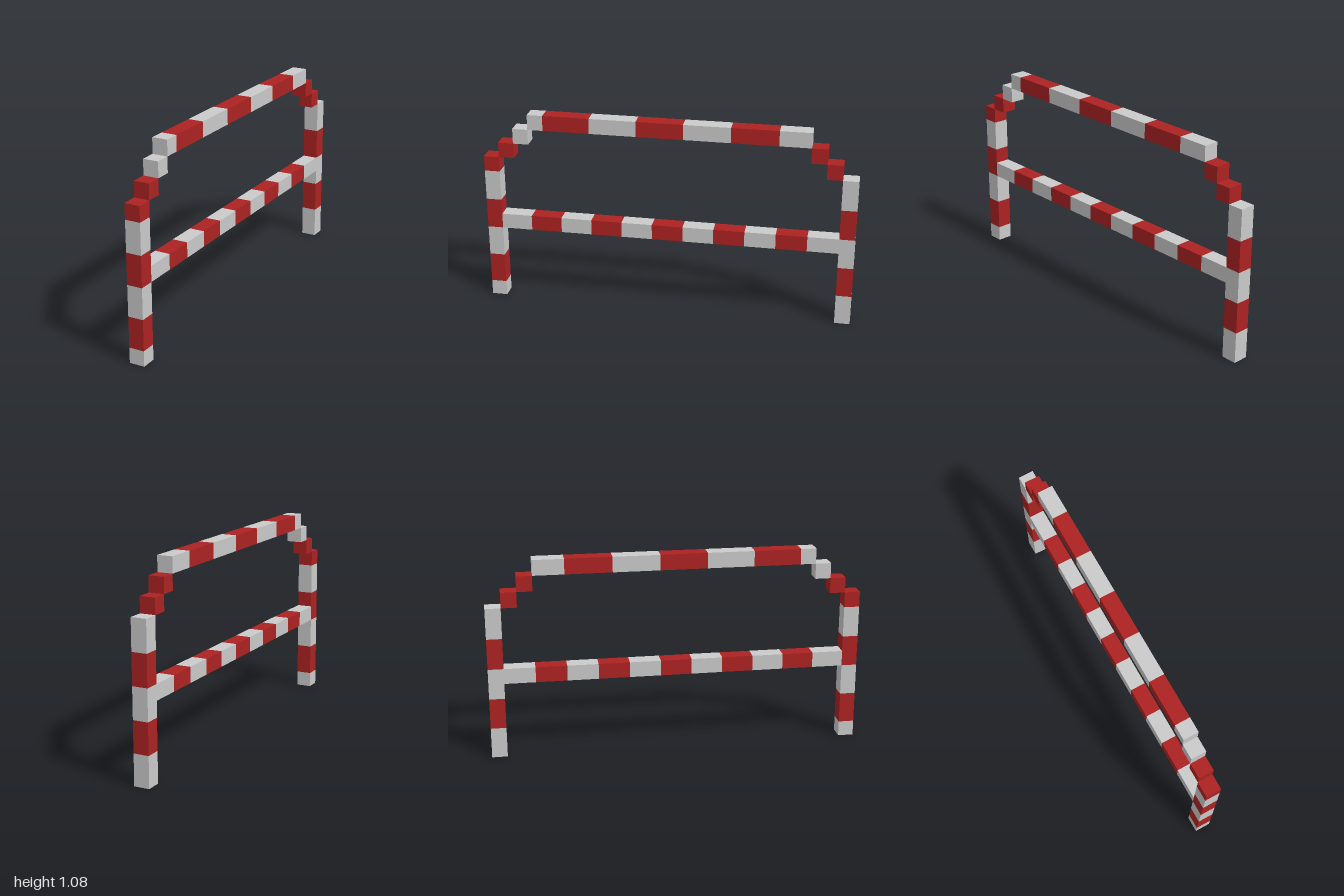
import * as THREE from 'three';

const U = 1 / 12; // one block: the bars are one block thick

export function createModel() {
  const grey = new THREE.MeshStandardMaterial({ color: 0xcacaca });
  grey.name = 'light grey paint';
  const red = new THREE.MeshStandardMaterial({ color: 0xad2222 });
  red.name = 'red paint';

  const model = new THREE.Group();
  model.name = 'stripedBarrier';

  // Square bar starting at (y, z), in blocks, running up ('y') or forward ('z').
  // Stripe lengths alternate in colour, beginning with the given one.
  function bar(name, axis, y, z, lengths, first = grey) {
    const group = new THREE.Group();
    group.name = name;
    let at = 0;
    lengths.forEach((length, i) => {
      const up = axis === 'y';
      const size = up ? [U, length * U, U] : [U, U, length * U];
      const other = first === grey ? red : grey;
      const stripe = new THREE.Mesh(new THREE.BoxGeometry(...size), i % 2 ? other : first);
      stripe.name = `${name}Stripe${i + 1}`;
      const mid = at + length / 2;
      stripe.position.set(0, (y + (up ? mid : 0.5)) * U, (z + (up ? 0.5 : mid)) * U);
      group.add(stripe);
      at += length;
    });
    model.add(group);
  }

  // Upright posts
  bar('frontPost', 'y', 0, 11, [1, 2, 2, 2, 2, 1]);
  bar('backPost', 'y', 0, -12, [2, 2, 2, 2, 2]);

  // Stepped corner blocks joining posts to the top rail
  bar('frontLowerStep', 'y', 10, 10, [1], red);
  bar('frontUpperStep', 'y', 11, 9, [1], grey);
  bar('backLowerStep', 'y', 10, -11, [1], red);
  bar('backUpperStep', 'y', 11, -10, [1], red);

  // Rails, striped from back to front
  bar('topRail', 'z', 12, -9, [2, 3, 3, 3, 3, 3, 1]);
  bar('middleRail', 'z', 5, -11, Array(11).fill(2));

  return model;
}
